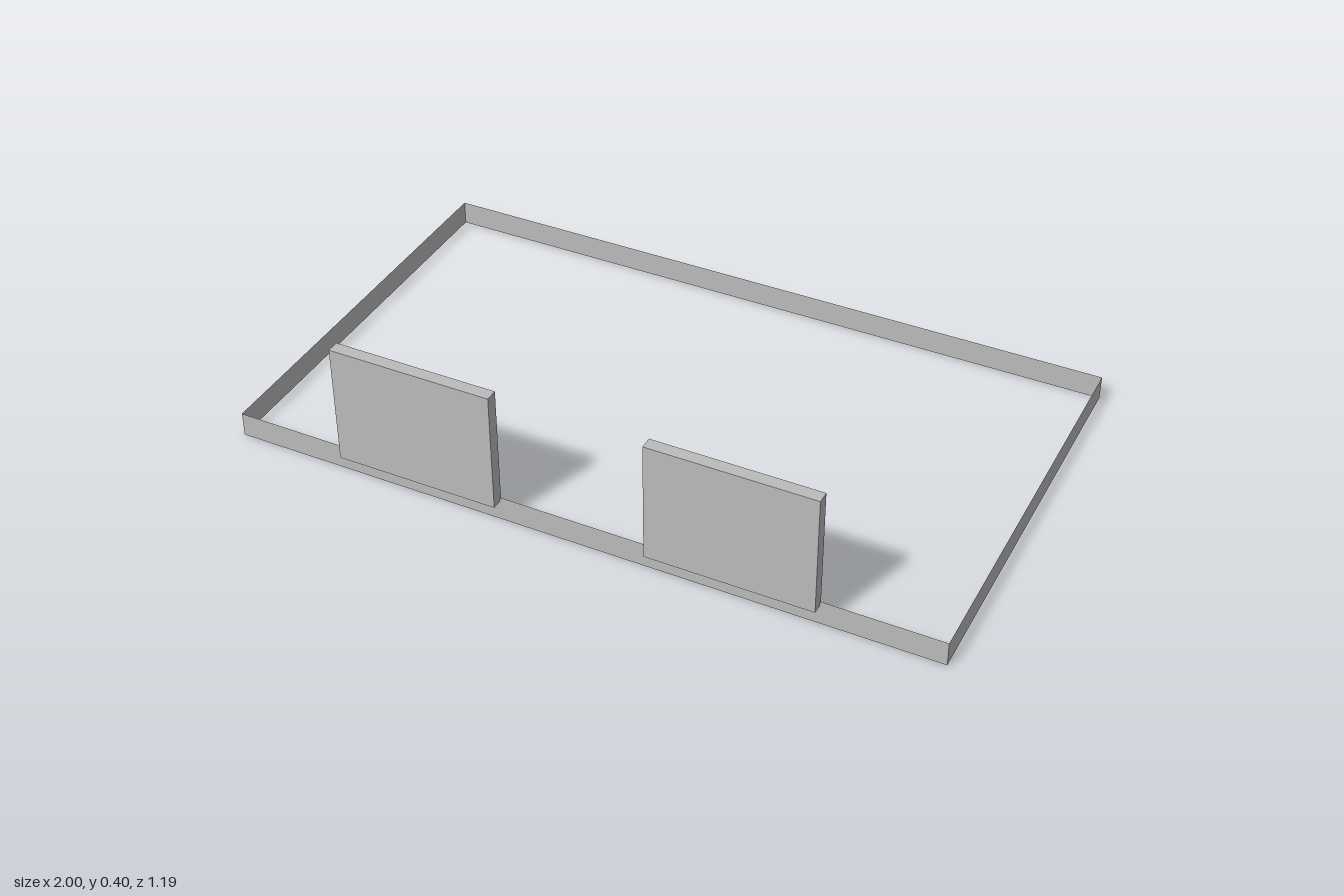
import * as THREE from 'three';

export function createModel() {
  const model = new THREE.Group();
  model.name = 'frameWithPanels';
  const grey = new THREE.MeshStandardMaterial({ color: 0xbcbcbc, side: THREE.DoubleSide });
  grey.name = 'plain grey';

  const add = (name, geometry, x, y, z, turn = 0) => {
    const mesh = new THREE.Mesh(geometry, grey);
    mesh.name = name;
    mesh.position.set(x, y, z);
    mesh.rotation.y = turn;
    model.add(mesh);
  };

  // Open rectangular frame of four paper-thin walls
  const height = 0.07, front = 0.568, back = -0.597;
  const long = new THREE.PlaneGeometry(2, height);
  const short = new THREE.PlaneGeometry(front - back, height);
  add('frontWall', long, 0, height / 2, front);
  add('backWall', long, 0, height / 2, back, Math.PI);
  add('leftWall', short, 1, height / 2, (front + back) / 2, Math.PI / 2);
  add('rightWall', short, -1, height / 2, (front + back) / 2, -Math.PI / 2);

  // Two upright panels straddling the front wall
  const panel = new THREE.BoxGeometry(0.46, 0.345, 0.035);
  add('leftPanel', panel, 0.44, 0.23, 0.5795);
  add('rightPanel', panel, -0.443, 0.23, 0.5795);

  return model;
}
